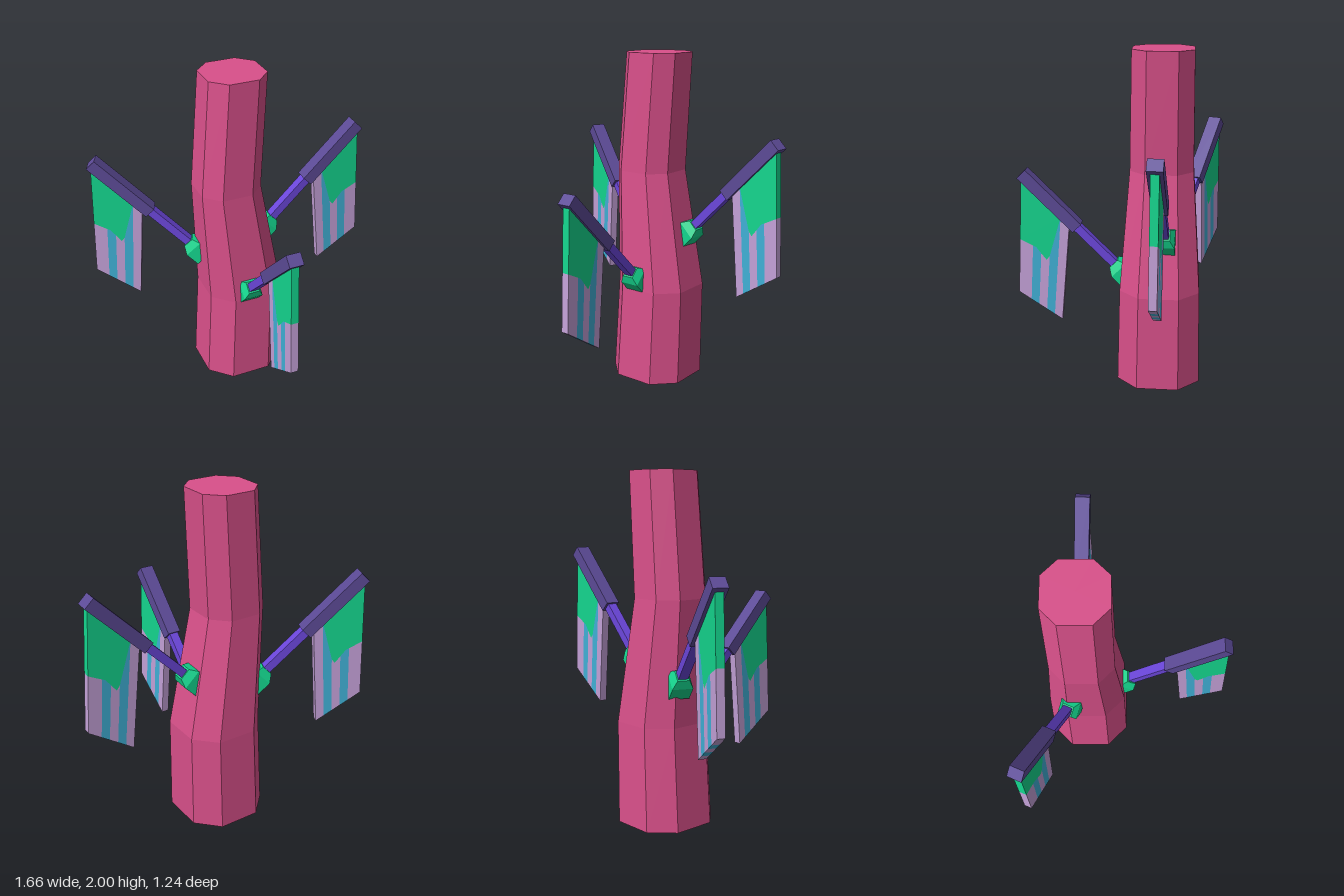
import * as THREE from 'three';

const mat = (name, color) => {
  const m = new THREE.MeshStandardMaterial({ color, flatShading: true });
  m.name = name;
  return m;
};

const mesh = (name, geometry, material, parent, y = 0) => {
  const m = new THREE.Mesh(geometry, material);
  m.name = name;
  m.position.y = y;
  parent.add(m);
  return m;
};

// Bent trunk: chamfered-square rings given as [height, centre x, half width]
function trunkGeometry() {
  const rings = [[0, -0.017, 0.248], [0.59, 0.006, 0.235], [1.3, -0.068, 0.185], [2, -0.017, 0.175]];
  const g = new THREE.CylinderGeometry(1, 1, 3, 8, 3).rotateY(Math.PI / 8);
  const p = g.attributes.position;
  const square = (c) => Math.sign(c) * (Math.abs(c) > 0.5 ? 1 : 0.5);
  for (let i = 0; i < p.count; i++) {
    const [y, cx, half] = rings[Math.round(p.getY(i) + 1.5)];
    p.setXYZ(i, cx + half * square(p.getX(i)), y, -0.245 + half * square(p.getZ(i)));
  }
  return g;
}

// Hanging panel: u runs from the inner to the outer edge, v from top to bottom
const corners = {
  topIn: new THREE.Vector2(0.303, 0.945), topOut: new THREE.Vector2(0.586, 1.23),
  botIn: new THREE.Vector2(0.355, 0.335), botOut: new THREE.Vector2(0.62, 0.51),
};
const panelPoint = ([u, v]) => {
  const top = corners.topIn.clone().lerp(corners.topOut, u);
  const bottom = corners.botIn.clone().lerp(corners.botOut, u);
  return top.lerp(bottom, v);
};
const panelPiece = (points) => {
  const depth = 0.046;
  const g = new THREE.ExtrudeGeometry(new THREE.Shape(points.map(panelPoint)), { depth, bevelEnabled: false });
  return g.rotateY(-Math.PI / 2).translate(depth / 2, 0, 0);
};

// Lower border of the green field, and the stripe borders below it
const border = [[0, 0], [0.18, 0], [0.36, 0.46], [0.42, 0.52], [0.54, 0.5], [0.65, 0.48], [0.72, 0.49], [1, 0.525]];
const stripes = [0, 0.18, 0.36, 0.54, 0.72, 1];

function makeBranch(name, mats, x, y, z, yaw) {
  const branch = new THREE.Group();
  branch.name = name;
  branch.position.set(x, y, z);
  branch.rotation.y = yaw;

  // Arm rising at 45 degrees
  const arm = new THREE.Group();
  arm.name = 'arm';
  arm.position.y = 0.68;
  arm.rotation.x = Math.PI / 4;
  branch.add(arm);

  const profile = [[0, -0.14], [0.06, -0.14], [0.06, -0.045], [0.035, 0], [0, 0]]
    .map(([r, h]) => new THREE.Vector2(r * Math.SQRT2, h));
  mesh('bracket', new THREE.LatheGeometry(profile, 4, Math.PI / 4), mats.green, arm, 0.05);
  mesh('rod', new THREE.BoxGeometry(0.056, 0.37, 0.05), mats.rod, arm, 0.19);
  mesh('beam', new THREE.BoxGeometry(0.085, 0.462, 0.072), mats.beam, arm, 0.592);

  // Banner made of a green field and five stripes
  const banner = new THREE.Group();
  banner.name = 'banner';
  branch.add(banner);
  mesh('field', panelPiece([[1, 0], ...border.slice(1).reverse()]), mats.green, banner);
  for (let i = 0; i < 5; i++) {
    const [a, b] = [stripes[i], stripes[i + 1]];
    const top = border.filter(([u]) => u >= a && u <= b);
    mesh('stripe', panelPiece([...top, [b, 1], [a, 1]]), i % 2 ? mats.cyan : mats.lilac, banner);
  }
  return branch;
}

export function createModel() {
  const mats = {
    pink: mat('pink', 0xd9508a),
    green: mat('green', 0x14d68e),
    rod: mat('violet', 0x6c47dc),
    beam: mat('dark purple', 0x5c4a96),
    lilac: mat('lilac', 0xc4a1d8),
    cyan: mat('cyan', 0x40b0d6),
  };
  const model = new THREE.Group();
  model.name = 'bannerTree';
  mesh('trunk', trunkGeometry(), mats.pink, model);
  model.add(
    makeBranch('frontBranch', mats, -0.017, 0, 0, 0),
    makeBranch('leftBranch', mats, 0.211, 0.272, -0.274, Math.atan2(0.9985, 0.055)),
    makeBranch('rightBranch', mats, -0.25, 0.18, -0.337, Math.atan2(-0.918, -0.397)),
  );
  return model;
}
